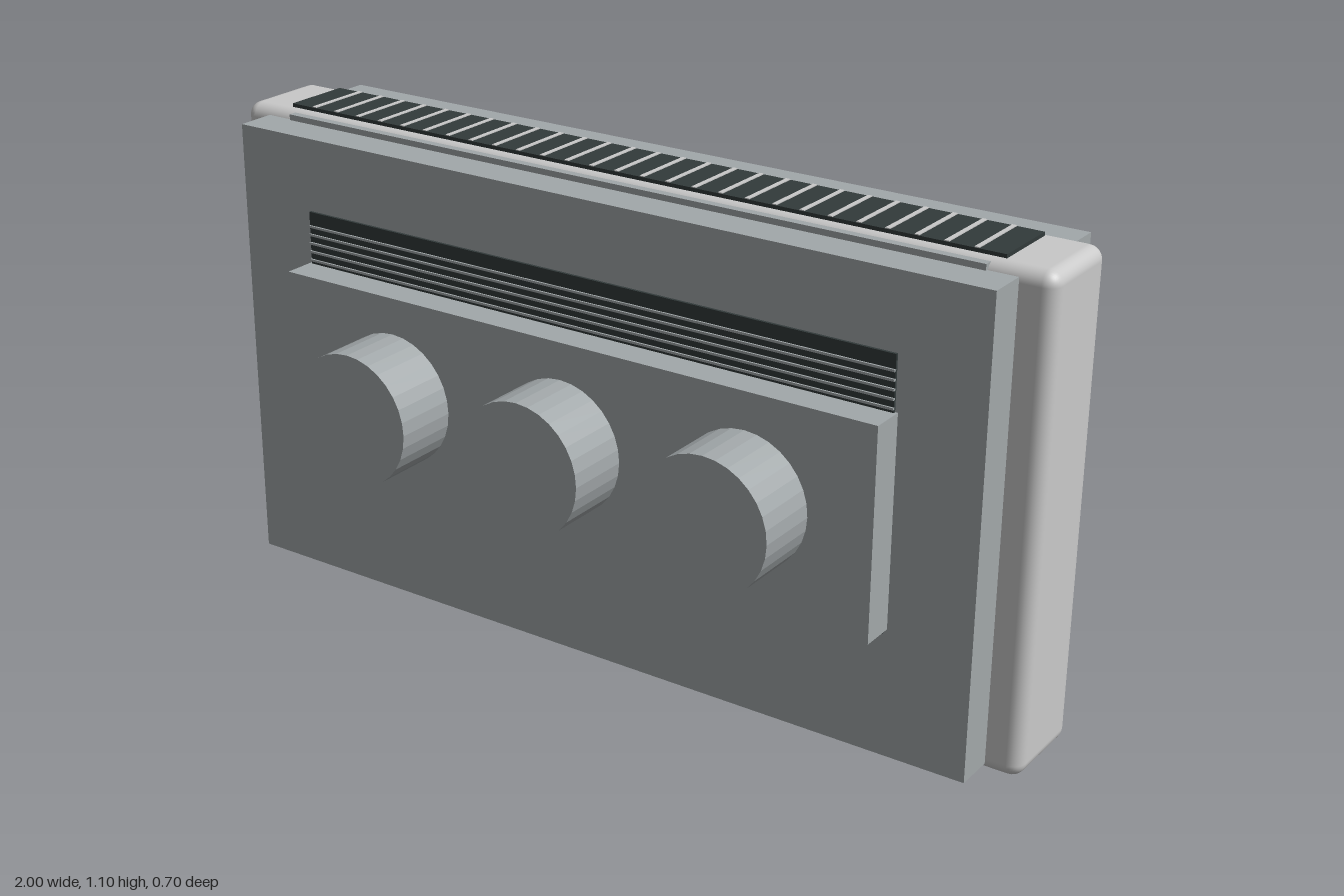
import * as THREE from 'three';
import { RoundedBoxGeometry } from 'three/addons/geometries/RoundedBoxGeometry.js';

export function createModel() {
  const model = new THREE.Group();
  model.name = 'panelHeater';
  const mat = (name, color) => {
    const m = new THREE.MeshStandardMaterial({ color });
    m.name = name;
    return m;
  };
  const shell = mat('light grey shell', 0xc9c9c9);
  const panel = mat('blue grey panel', 0xa2a8aa);
  const dark = mat('dark grille', 0x323a3a);

  const add = (name, geometry, material, x = 0, y = 0, z = 0) => {
    const mesh = new THREE.Mesh(geometry, material);
    mesh.name = name;
    mesh.position.set(x, y, z);
    model.add(mesh);
    return mesh;
  };
  // Box given by its limits on each axis
  const box = (name, material, [x0, x1], [y0, y1], [z0, z1]) =>
    add(name, new THREE.BoxGeometry(x1 - x0, y1 - y0, z1 - z0), material,
      (x0 + x1) / 2, (y0 + y1) / 2, (z0 + z1) / 2);

  // Rounded core and the rim around it
  add('core', new RoundedBoxGeometry(2, 1.07, 0.22, 4, 0.03), shell, 0, 0.553, -0.073);
  box('rim', panel, [-0.86, 0.86], [0.028, 1.083], [-0.188, 0.042]);

  // Large covers with a raised plate on each
  box('frontCover', panel, [-0.925, 0.925], [0.037, 1.07], [0.037, 0.127]);
  box('backCover', panel, [-0.925, 0.925], [0.037, 1.07], [-0.272, -0.183]);
  box('frontPlate', panel, [-0.738, 0.738], [0.322, 0.785], [0.127, 0.203]);
  box('backPlate', panel, [-0.738, 0.738], [0.322, 0.785], [-0.35, -0.272]);

  // Round knobs
  for (const x of [-0.445, 0, 0.445]) {
    const geometry = new THREE.CylinderGeometry(0.148, 0.148, 0.15, 32).toNonIndexed();
    geometry.rotateX(Math.PI / 2);
    geometry.computeVertexNormals();
    add('knob', geometry, panel, x, 0.555, 0.277);
  }

  // Front grille with horizontal slats
  box('frontGrille', dark, [-0.732, 0.732], [0.314, 0.905], [0.126, 0.133]);
  for (let i = 0; i < 5; i++) {
    const y = 0.794 + i * 0.0195;
    box('frontSlat', panel, [-0.732, 0.732], [y - 0.0025, y + 0.0025], [0.13, 0.137]);
  }

  // Top grille with cross bars
  box('topGrille', dark, [-0.883, 0.883], [1.084, 1.096], [-0.153, 0.005]);
  for (let i = 1; i < 28; i++) {
    const x = -0.883 + (i * 1.766) / 28;
    box('topBar', shell, [x - 0.005, x + 0.005], [1.09, 1.098], [-0.152, 0.004]);
  }

  // Feet
  for (const s of [-1, 1])
    box('foot', panel, [s * 0.815 - 0.075, s * 0.815 + 0.075], [0, 0.029], [-0.212, 0.067]);

  return model;
}
